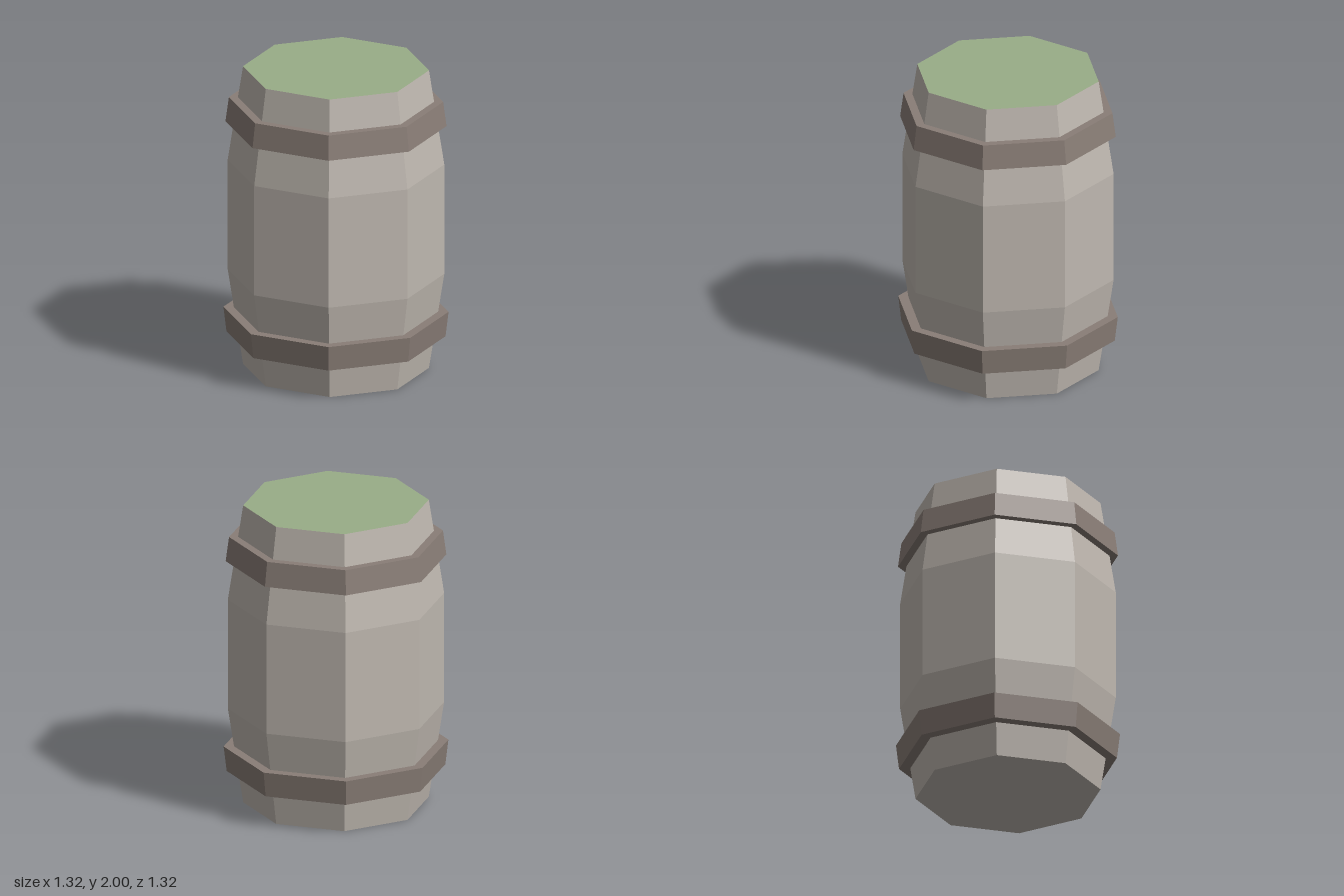
import * as THREE from 'three';

const SIDES = 8;
const TURN = Math.PI / SIDES;
const toRadius = (flat) => flat / Math.cos(TURN); // half-width across flats -> corner radius

const material = (name, color) => {
  const m = new THREE.MeshStandardMaterial({ color, flatShading: true });
  m.name = name;
  return m;
};

// Eight-sided turned part from [half-width, height] pairs, listed bottom to top
function turned(name, profile, mat) {
  const points = profile.map(([w, y]) => new THREE.Vector2(toRadius(w), y));
  const mesh = new THREE.Mesh(new THREE.LatheGeometry(points, SIDES, TURN), mat);
  mesh.name = name;
  return mesh;
}

export function createModel() {
  const barrel = new THREE.Group();
  barrel.name = 'barrel';
  const wood = material('paleWood', 0xbfb8b0);
  const band = material('brownBand', 0x8a7e77);
  const green = material('greenLid', 0x99ad87);

  // Bulging body with closed bottom
  barrel.add(turned('body', [[0, 0], [0.545, 0], [0.635, 0.635], [0.635, 1.37], [0.545, 2]], wood));

  // Flat lid closing the top
  const lid = new THREE.Mesh(new THREE.CircleGeometry(toRadius(0.545), SIDES, TURN), green);
  lid.name = 'lid';
  lid.rotation.x = -Math.PI / 2;
  lid.position.y = 2;
  barrel.add(lid);

  // Hoops, slanted to follow the bulge
  barrel.add(turned('lowerHoop', [[0.57, 0.215], [0.642, 0.215], [0.66, 0.38], [0.59, 0.38]], band));
  barrel.add(turned('upperHoop', [[0.59, 1.628], [0.648, 1.628], [0.628, 1.79], [0.565, 1.79]], band));

  return barrel;
}
